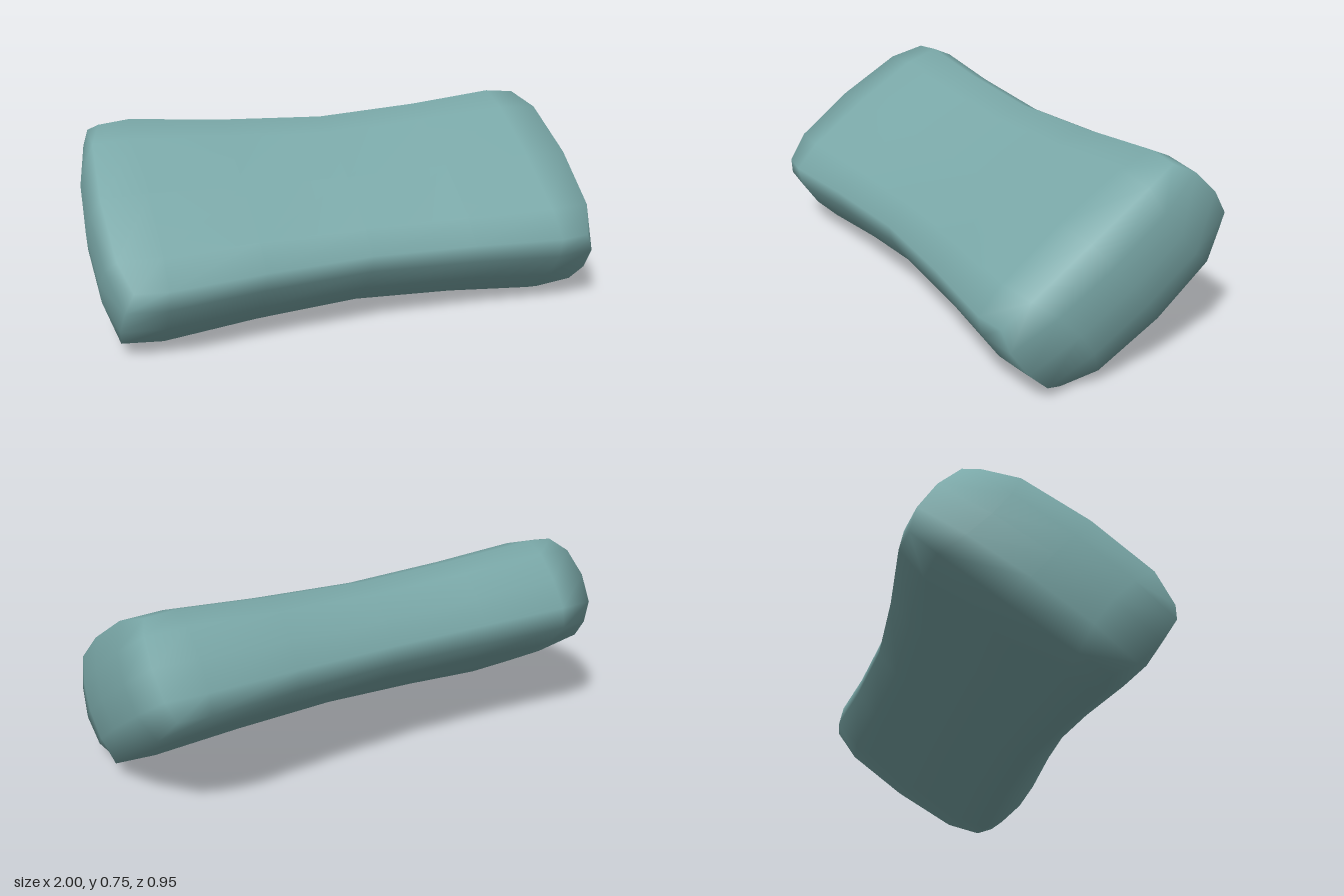
import * as THREE from 'three';
import { mergeVertices } from 'three/addons/utils/BufferGeometryUtils.js';

const STATION_X = [0, 0.42, 0.78, 1];          // rings from the waist to the end
const STATION_SCALE = [0.875, 0.925, 1, 0.97]; // waisted in the middle
const TILT = THREE.MathUtils.degToRad(32.9);

// Soft bar: a subdivided box, each vertex moved by a rule
function softBar() {
  let geo = new THREE.BoxGeometry(2, 2, 2, 6, 4, 4);
  geo.deleteAttribute('uv');
  geo.deleteAttribute('normal');
  geo = mergeVertices(geo, 1e-4);
  const p = geo.attributes.position;
  for (let i = 0; i < p.count; i++) {
    const gx = p.getX(i), b = p.getY(i), a = p.getZ(i);
    const k = Math.round(Math.abs(gx) * 3);
    const s = STATION_SCALE[k];
    // bulging end caps
    const x = k === 3 ? 1 - 0.055 * a * a - 0.045 * b * b : STATION_X[k];
    // rounded, slightly sheared cross-section
    const A = Math.abs(a), B = Math.abs(b);
    const depth = A > 0.75 ? 0.467 - 0.05 * b * b : A > 0.25 ? 0.25 + 0.035 * b * b : 0;
    const height = B > 0.75 ? 0.24 - 0.046 * a * a : B > 0.25 ? 0.12 : 0;
    const v = Math.sign(b) * height * s;
    const w = Math.sign(a) * depth * s + 0.12 * v;
    p.setXYZ(i, Math.sign(gx) * x, v, w);
  }
  geo.rotateX(TILT);
  geo.computeVertexNormals();
  geo.computeBoundingBox();
  geo.translate(0, -geo.boundingBox.min.y, 0);
  return geo;
}

export function createModel() {
  const group = new THREE.Group();
  const bar = new THREE.Mesh(softBar(), new THREE.MeshStandardMaterial({ color: 0x7aa8a8 }));
  bar.name = 'softBar';
  group.add(bar);
  return group;
}
